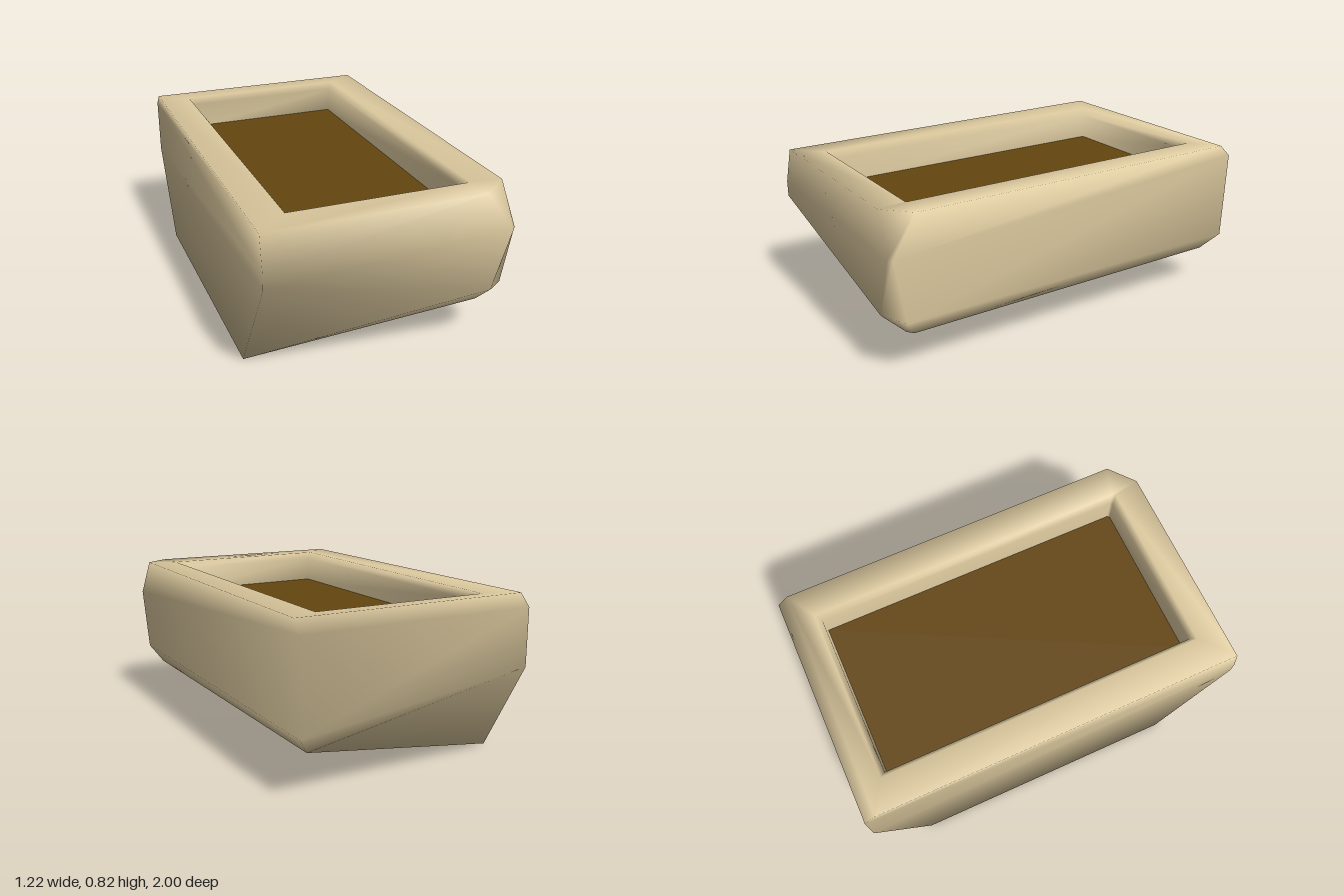
import * as THREE from 'three';

// Builds a smooth skin from stacked rings of corners, listed anticlockwise seen from above.
function skinRings(rings, capBottom) {
  const n = rings[0].length;
  const index = [];
  for (let r = 0; r < rings.length - 1; r++) {
    for (let i = 0; i < n; i++) {
      const a = r * n + i;
      const b = r * n + (i + 1) % n;
      index.push(a, b, b + n, a, b + n, a + n);
    }
  }
  if (capBottom) for (let i = 1; i < n - 1; i++) index.push(0, i + 1, i);
  const geometry = new THREE.BufferGeometry();
  geometry.setAttribute('position', new THREE.Float32BufferAttribute(rings.flat(2), 3));
  geometry.setIndex(index);
  geometry.computeVertexNormals();
  return geometry;
}

// Rectangular ring inside the rim; the front left corner is doubled to match the cut corner.
function innerRing(x, y, front, back) {
  return [[-x, y, front], [x - 0.01, y, front], [x, y, front - 0.01], [x, y, back], [-x, y, back]];
}

export function createModel() {
  const group = new THREE.Group();
  const stone = new THREE.MeshStandardMaterial({ name: 'sandy stone', color: 0xdcc99e, side: THREE.DoubleSide });
  const earth = new THREE.MeshStandardMaterial({ name: 'brown soil', color: 0x64460f });

  // Rough trough: slanted underside, cut lower edges, rounded rim and inner walls
  const trough = new THREE.Mesh(skinRings([
    [[-0.61, 0, 0.66], [0.5, 0.215, 0.88], [0.54, 0.22, 0.86], [0.53, 0.22, -0.92], [-0.61, 0, -0.73]],
    [[-0.61, 0.56, 1], [0.5, 0.33, 1], [0.6, 0.31, 0.92], [0.6, 0.31, -0.99], [-0.61, 0.47, -1]],
    [[-0.61, 0.64, 1], [0.595, 0.63, 1], [0.61, 0.63, 0.98], [0.605, 0.76, -1], [-0.61, 0.76, -1]],
    [[-0.61, 0.81, 0.97], [0.47, 0.815, 0.97], [0.6, 0.82, 0.86], [0.6, 0.82, -0.94], [-0.61, 0.82, -0.94]],
    innerRing(0.45, 0.815, 0.83, -0.85),
    innerRing(0.425, 0.78, 0.805, -0.825),
    innerRing(0.42, 0.64, 0.8, -0.82),
  ], true), stone);
  trough.name = 'trough';
  group.add(trough);

  // Soil filling the opening
  const soil = new THREE.Mesh(new THREE.PlaneGeometry(0.845, 1.625).rotateX(-Math.PI / 2), earth);
  soil.position.set(0, 0.65, -0.01);
  soil.name = 'soil';
  group.add(soil);

  return group;
}
